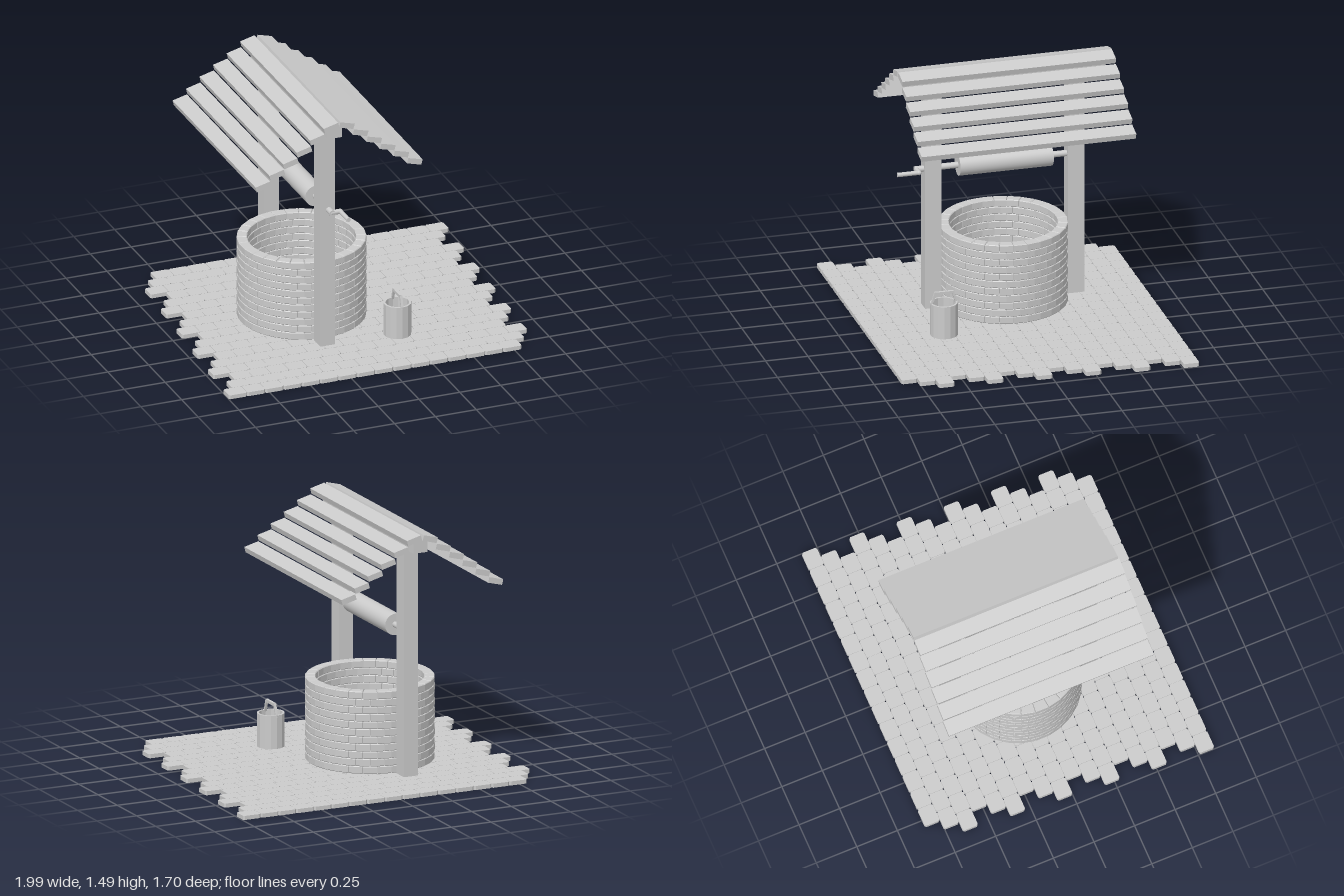
import * as THREE from 'three';
import { mergeGeometries } from 'three/addons/utils/BufferGeometryUtils.js';

const grey = new THREE.MeshStandardMaterial({ color: 0xcccccc });
const flat = new THREE.MeshStandardMaterial({ color: 0xcccccc, flatShading: true });
const flatDouble = new THREE.MeshStandardMaterial({ color: 0xcccccc, flatShading: true, side: THREE.DoubleSide });

// Small seeded generator, -1..1
let seed = 7;
const jitter = () => {
  seed = (seed * 16807) % 2147483647;
  return (seed / 2147483647) * 2 - 1;
};

function add(parent, name, geometry, x = 0, y = 0, z = 0, material = flat) {
  const mesh = new THREE.Mesh(geometry, material);
  mesh.name = name;
  mesh.position.set(x, y, z);
  parent.add(mesh);
  return mesh;
}

const box = (w, h, d) => new THREE.BoxGeometry(w, h, d);
const rodZ = (r, length, sides = 16) => new THREE.CylinderGeometry(r, r, length, sides).rotateX(Math.PI / 2);

const FLOOR = 0.024;

// Staggered paving of slabs with clipped corners
function paving() {
  const rows = 18, cols = 16, rowLength = 1.793;
  const w = rowLength / cols, d = 1.7 / rows, c = 0.009;
  const a = w / 2 - 0.0008, b = d / 2 - 0.0008;
  const outline = [[a - c, -b], [a, c - b], [a, b - c], [a - c, b], [c - a, b], [-a, b - c], [-a, c - b], [c - a, -b]];
  const slab = new THREE.ExtrudeGeometry(
    new THREE.Shape(outline.map(([x, y]) => new THREE.Vector2(x, y))),
    { depth: FLOOR, bevelEnabled: false }
  ).rotateX(-Math.PI / 2);
  const slabs = [];
  for (let r = 0; r < rows; r++) {
    const left = -0.797 - 0.055 * (r % 3) - 0.0186 * Math.floor(r / 3);
    for (let i = 0; i < cols; i++) {
      slabs.push(slab.clone().translate(left + (i + 0.5) * w, 0, -0.85 + (r + 0.5) * d));
    }
  }
  return mergeGeometries(slabs);
}

// Round wall of bevelled wedge bricks, every other course turned half a brick
function brickWall() {
  const courses = 11, count = 28, h = (0.507 - FLOOR) / courses;
  const outer = 0.367, inner = 0.308, bevel = 0.004;
  const t = Math.tan(Math.PI / count);
  const ro = outer - bevel, ri = inner + bevel, gap = bevel + 0.0006;
  const shape = new THREE.Shape([
    new THREE.Vector2(ri, -ri * t + gap), new THREE.Vector2(ro, -ro * t + gap),
    new THREE.Vector2(ro, ro * t - gap), new THREE.Vector2(ri, ri * t - gap),
  ]);
  const brick = new THREE.ExtrudeGeometry(shape, {
    depth: h - 2 * bevel, bevelEnabled: true, bevelSize: bevel, bevelThickness: bevel, bevelSegments: 1,
  }).rotateX(-Math.PI / 2).translate(0, bevel, 0);
  const bricks = [];
  for (let r = 0; r < courses; r++) {
    for (let i = 0; i < count; i++) {
      const angle = ((i + (r % 2) / 2) / count) * Math.PI * 2;
      bricks.push(brick.clone().rotateY(angle).translate(0, r * h, 0));
    }
  }
  return mergeGeometries(bricks);
}

// Stepped planks running down from the ridge on both sides
function roof() {
  const group = new THREE.Group();
  group.name = 'roof';
  for (const side of [1, -1]) {
    for (let i = 0; i < 6; i++) {
      const x = -0.22 + side * (0.048 + 0.083 * i);
      const plank = add(group, 'roofPlank', box(0.091, 0.033, 1.262 + 0.004 * jitter()), x, 1.458 - 0.0592 * i, -0.042);
      plank.rotation.set(0.002 * jitter(), 0.002 * jitter(), -side * 0.26);
    }
  }
  return group;
}

// Drum on an axle, with a crank at the front
function windlass() {
  const group = new THREE.Group();
  group.name = 'windlass';
  group.position.set(-0.222, 0.873, 0);
  add(group, 'drum', rodZ(0.063, 0.55, 32), 0, 0, -0.04);
  add(group, 'axle', rodZ(0.018, 0.91), 0, 0, 0.035);
  const arm = add(group, 'crankArm', new THREE.CapsuleGeometry(0.015, 0.054, 4, 10), 0.026, 0, 0.478);
  arm.rotation.z = Math.PI / 2;
  add(group, 'crankHandle', rodZ(0.013, 0.135), 0.053, 0, 0.5375);
  return group;
}

// Open bucket with staves and a bent handle
function bucket() {
  const group = new THREE.Group();
  group.name = 'bucket';
  group.position.set(0.198, FLOOR, 0.434);
  const profile = [[0, 0], [0.08, 0], [0.08, 0.196], [0.068, 0.196], [0.068, 0.02], [0, 0.02]];
  add(group, 'bucketBody', new THREE.LatheGeometry(profile.map(([x, y]) => new THREE.Vector2(x, y)), 14),
    0, 0, 0, flatDouble);
  for (const s of [1, -1]) {
    const arm = add(group, 'handleArm', box(0.014, 0.08, 0.012), 0, 0.222, s * 0.062);
    arm.rotation.x = -s * 0.3;
  }
  add(group, 'handleGrip', box(0.016, 0.017, 0.105), 0, 0.254, 0);
  return group;
}

export function createModel() {
  const model = new THREE.Group();
  model.name = 'well';
  add(model, 'paving', paving());
  add(model, 'brickWall', brickWall(), -0.202, FLOOR, -0.028);
  for (const z of [0.388, -0.455]) {
    add(model, 'post', box(0.09, 1.416, 0.097), -0.23, FLOOR + 0.708, z);
  }
  add(model, 'ridgeBeam', box(0.088, 0.07, 1.17), -0.23, 1.405, -0.04);
  model.add(roof(), windlass(), bucket());
  model.getObjectByName('windlass').children.forEach((mesh) => { mesh.material = grey; });
  return model;
}
